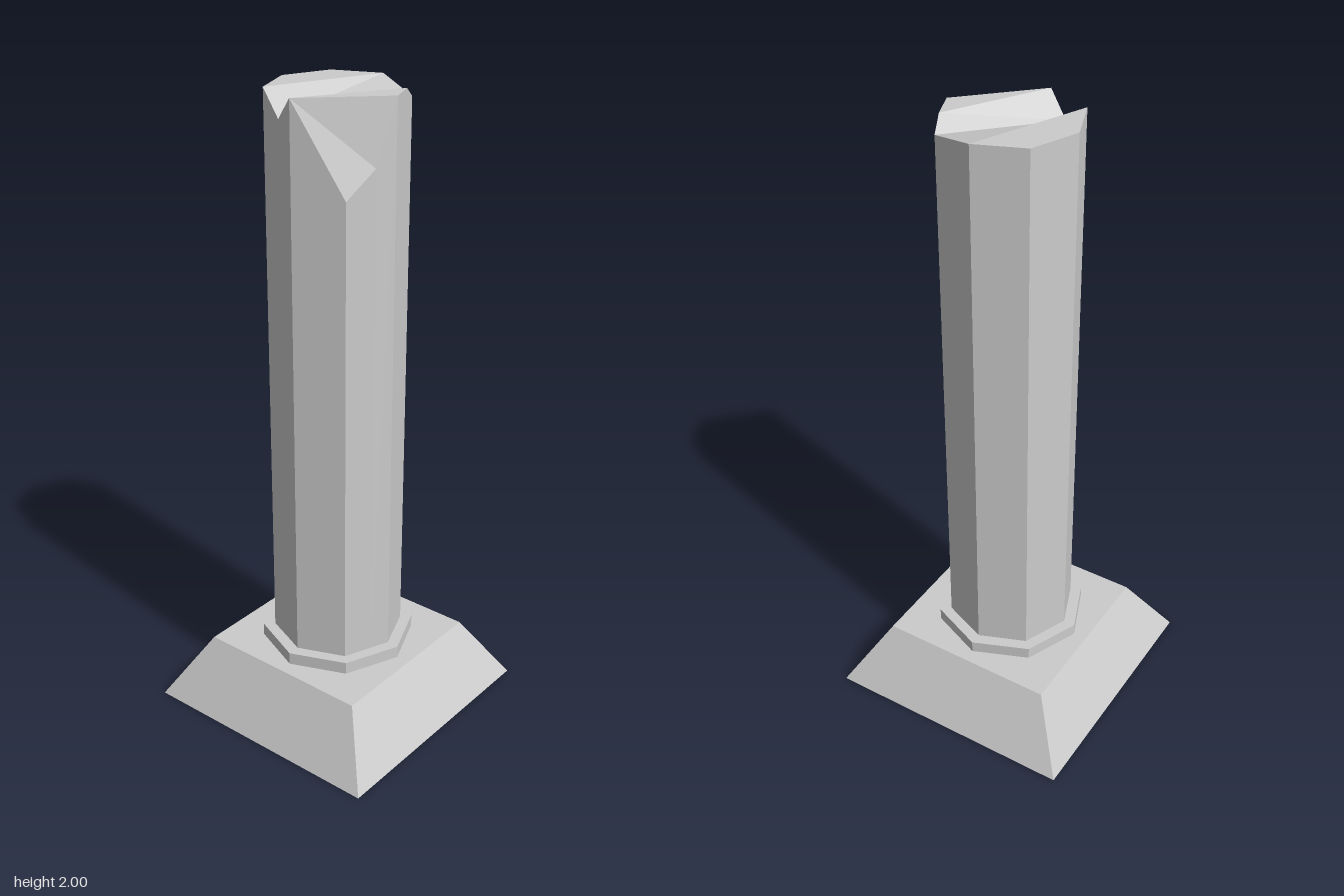
import * as THREE from 'three';

const material = new THREE.MeshStandardMaterial({ color: 0xcccccc, flatShading: true });

function part(name, geometry, y = 0) {
  const mesh = new THREE.Mesh(geometry, material);
  mesh.name = name;
  mesh.position.y = y;
  return mesh;
}

// Octagonal shaft with a broken top: a chipped corner and a slanting groove
function brokenShaft(bottom) {
  // Rim points [x, y, z], going round from +x towards +z
  const rim = [
    [0.205, 2, 0],
    [0.181, 1.81, 0.06],   // chip, on the side face
    [0.146, 1.73, 0.146],  // chip, lowest corner
    [0, 2, 0.205],
    [-0.063, 1.93, 0.179], // groove, front end
    [-0.146, 2, 0.146],
    [-0.205, 2, 0],
    [-0.146, 2, -0.146],
    [0, 2, -0.205],
    [0.146, 1.965, -0.146], // groove, back end
    [0.169, 2, -0.09],
  ];
  const topFaces = [
    [8, 7, 6], [8, 6, 5],              // high flat
    [8, 5, 4], [9, 8, 4],              // groove, steep side
    [10, 9, 4], [10, 4, 3],            // groove, shallow side
    [10, 3, 0],                        // small flat
    [3, 2, 1], [3, 1, 0],              // chipped corner
  ];
  const positions = [];
  const triangle = (...points) => points.forEach((p) => positions.push(...p));
  const foot = ([x, , z]) => [x, bottom, z];

  // Walls and underside
  rim.forEach((a, i) => {
    const b = rim[(i + 1) % rim.length];
    triangle(foot(b), foot(a), a);
    triangle(foot(b), a, b);
    triangle([0, bottom, 0], foot(a), foot(b));
  });
  topFaces.forEach((face) => triangle(...face.map((i) => rim[i])));

  const geometry = new THREE.BufferGeometry();
  geometry.setAttribute('position', new THREE.Float32BufferAttribute(positions, 3));
  geometry.computeVertexNormals();
  return geometry;
}

export function createModel() {
  const group = new THREE.Group();
  group.name = 'brokenColumn';

  // Square plinth with sloping sides
  const plinth = new THREE.CylinderGeometry(0.288 * Math.SQRT2, 0.41 * Math.SQRT2, 0.21, 4);
  plinth.rotateY(Math.PI / 4);
  group.add(part('plinth', plinth, 0.105));

  // Octagonal collar at the foot of the shaft
  group.add(part('collar', new THREE.CylinderGeometry(0.244, 0.244, 0.04, 8), 0.23));

  group.add(part('shaft', brokenShaft(0.21)));
  return group;
}
